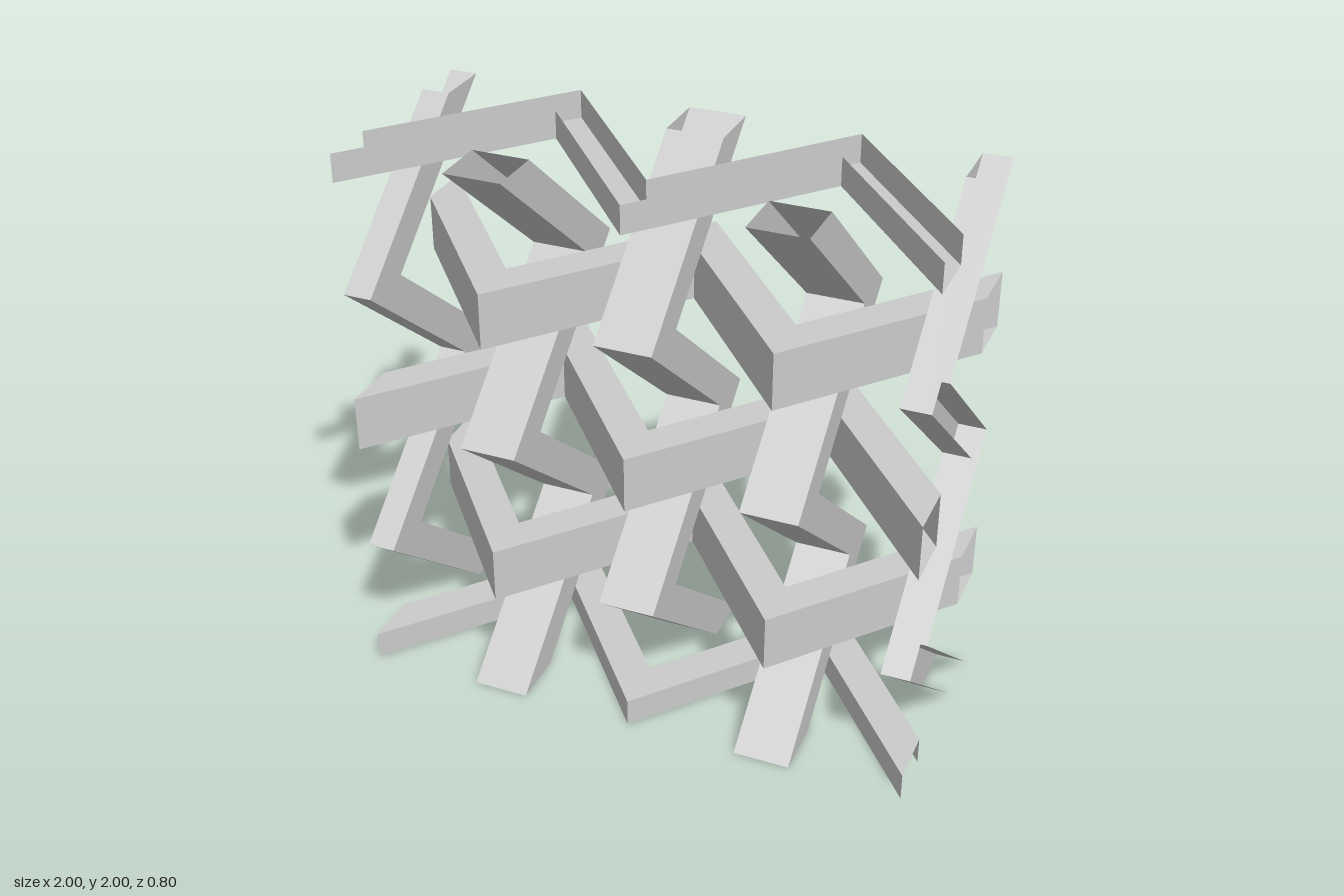
import * as THREE from 'three';

const SEGMENTS = 4;      // straight runs in each zigzag
const DEPTH = 0.3;       // centreline swing in z
const HALF = 0.1;        // half width and half thickness of a strip

// Open-ended zigzag tube along x at height v; strips on the border are cut in half and left open there
function zigzagStrip(v, phase) {
  const w0 = Math.max(v - HALF, -1), w1 = Math.min(v + HALF, 1);
  const pos = [];
  const quad = (a, b, c, d) => pos.push(...a, ...b, ...c, ...a, ...c, ...d);
  for (let i = 0; i < SEGMENTS; i++) {
    const a = -1 + (2 * i) / SEGMENTS, b = -1 + (2 * (i + 1)) / SEGMENTS;
    const za = phase * DEPTH * (i % 2 ? -1 : 1), zb = -za;
    const p = (atEnd, w, s) => [atEnd ? b : a, w, (atEnd ? zb : za) + s * HALF];
    // front and back walls
    quad(p(0, w0, 1), p(1, w0, 1), p(1, w1, 1), p(0, w1, 1));
    quad(p(0, w1, -1), p(1, w1, -1), p(1, w0, -1), p(0, w0, -1));
    // upper and lower walls, omitted on the border planes
    if (w1 < 1) quad(p(0, w1, 1), p(1, w1, 1), p(1, w1, -1), p(0, w1, -1));
    if (w0 > -1) quad(p(0, w0, -1), p(1, w0, -1), p(1, w0, 1), p(0, w0, 1));
  }
  const geometry = new THREE.BufferGeometry();
  geometry.setAttribute('position', new THREE.Float32BufferAttribute(pos, 3));
  geometry.computeVertexNormals();
  return geometry;
}

export function createModel() {
  const model = new THREE.Group();
  model.name = 'wovenLattice';
  const material = new THREE.MeshStandardMaterial({
    color: 0xcccccc, flatShading: true, side: THREE.DoubleSide,
  });

  const horizontal = new THREE.Group();
  horizontal.name = 'horizontalStrips';
  const vertical = new THREE.Group();
  vertical.name = 'verticalStrips';
  vertical.rotation.z = Math.PI / 2;

  // Neighbouring strips alternate phase; the two directions pass over and under each other
  for (let i = 0; i <= 4; i++) {
    const v = -1 + i * 0.5, phase = i % 2 ? -1 : 1;
    const weft = new THREE.Mesh(zigzagStrip(v, phase), material);
    weft.name = `horizontalStrip${i + 1}`;
    horizontal.add(weft);
    const warp = new THREE.Mesh(zigzagStrip(v, -phase), material);
    warp.name = `verticalStrip${i + 1}`;
    vertical.add(warp);
  }

  horizontal.position.y = vertical.position.y = 1;
  model.add(horizontal, vertical);
  return model;
}
